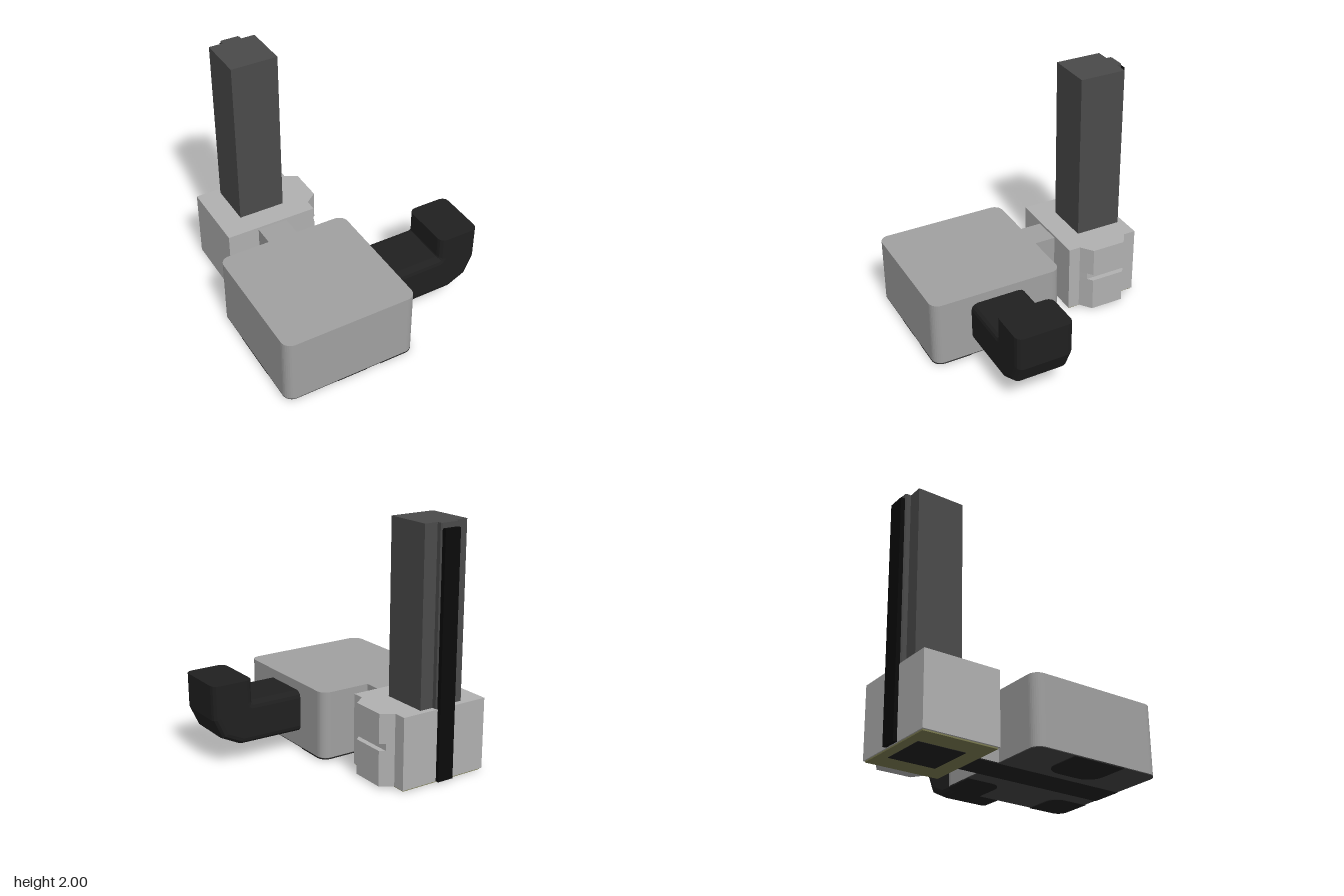
import * as THREE from 'three';

const paint = (color) => new THREE.MeshStandardMaterial({ color, flatShading: true });

// Upright prism from a plan outline drawn in (x, -z)
function prism(name, shape, y0, y1, material) {
  const geo = new THREE.ExtrudeGeometry(shape, { depth: y1 - y0, bevelEnabled: false, curveSegments: 4 });
  geo.rotateX(-Math.PI / 2).translate(0, y0, 0);
  const mesh = new THREE.Mesh(geo, material);
  mesh.name = name;
  return mesh;
}

// Outline from [x, z] points
const outline = (pts) => new THREE.Shape(pts.map(([x, z]) => new THREE.Vector2(x, -z)));

// Rectangle with one radius per corner: back left, back right, front right, front left (in plan)
function plan(x0, x1, z0, z1, radii = [0, 0, 0, 0]) {
  const [a, b, c, d] = radii;
  const s = new THREE.Shape();
  s.moveTo(x0 + d, -z1);
  s.lineTo(x1 - c, -z1);
  if (c) s.absarc(x1 - c, -z1 + c, c, -Math.PI / 2, 0);
  s.lineTo(x1, -z0 - b);
  if (b) s.absarc(x1 - b, -z0 - b, b, 0, Math.PI / 2);
  s.lineTo(x0 + a, -z0);
  if (a) s.absarc(x0 + a, -z0 - a, a, Math.PI / 2, Math.PI);
  s.lineTo(x0, -z1 + d);
  if (d) s.absarc(x0 + d, -z1 + d, d, Math.PI, Math.PI * 1.5);
  return s;
}

// Bent duct: rounded rectangular cross-sections from an inner to an outer edge
function ductGeometry(stations, z0, z1, r) {
  const pos = [], index = [];
  const corners = [[0, 0], [0, 1], [1, 1], [1, 0]];
  const steps = 3, ring = corners.length * (steps + 1);
  for (const [ix, iy, ox, oy] of stations) {
    const len = Math.hypot(ox - ix, oy - iy);
    corners.forEach(([t, w], k) => {
      for (let i = 0; i <= steps; i++) {
        const a = Math.PI - (k + i / steps) * Math.PI / 2 + Math.PI / 2;
        const d = (t ? len - r : r) + r * Math.cos(a);
        const z = (w ? z1 - r : z0 + r) + r * Math.sin(a);
        pos.push(ix + (ox - ix) * d / len, iy + (oy - iy) * d / len, z);
      }
    });
  }
  for (let s = 0; s < stations.length - 1; s++) {
    for (let i = 0; i < ring; i++) {
      const a = s * ring + i, b = s * ring + (i + 1) % ring;
      index.push(a, b, a + ring, b, b + ring, a + ring);
    }
  }
  // Flat end caps
  const last = (stations.length - 1) * ring;
  for (let i = 1; i < ring - 1; i++) {
    index.push(0, i + 1, i, last, last + i, last + i + 1);
  }
  const geo = new THREE.BufferGeometry();
  geo.setAttribute('position', new THREE.Float32BufferAttribute(pos, 3));
  geo.setIndex(index);
  const flat = geo.toNonIndexed();
  flat.computeVertexNormals();
  return flat;
}

export function createModel() {
  const model = new THREE.Group();
  model.name = 'pumpUnit';
  const casing = paint(0xa0a0a0), housing = paint(0xb0b0b0), column = paint(0x4a4a4a);
  const rubber = paint(0x202020), black = paint(0x0a0a0a), base = paint(0x444444), olive = paint(0x7a7a50);

  // Main casing with a dark underside
  const r = 0.08, round = [r, r, r, r];
  model.add(prism('mainCasing', plan(-0.955, 0.165, -0.14, 0.98, round), 0.022, 0.575, casing));
  model.add(prism('casingUnderside', plan(-0.955, 0.165, -0.14, 0.98, round), 0.016, 0.022, base));

  // Feet and the channel under the casing
  const feet = [
    plan(-0.145, 0.165, -0.14, 0.17, [0, r, 0, 0.1]),
    plan(-0.145, 0.165, 0.67, 0.98, [0.1, 0, r, 0]),
    plan(-0.955, -0.6, 0.2, 0.65, [0, 0.13, 0.13, 0]),
  ];
  feet.forEach((shape) => model.add(prism('foot', shape, 0.01, 0.02, rubber)));
  model.add(prism('undersideChannel', plan(-0.52, -0.265, -0.325, 0.98), 0.012, 0.02, rubber));

  // Bridge between the casing and the column housing
  model.add(prism('bridge', plan(-0.52, -0.265, -0.33, -0.13), 0.02, 0.575, casing));

  // Column housing and its base plate
  model.add(prism('columnHousing', plan(-0.785, -0.01, -0.95, -0.32), 0.014, 0.595, housing));
  model.add(prism('basePlate', plan(-0.77, -0.02, -0.94, -0.33), 0.003, 0.015, olive));
  model.add(prism('basePlug', plan(-0.59, -0.2, -0.86, -0.47), 0, 0.012, rubber));

  // Side bulge, split by a recessed slot
  const bulge = [[-0.02, -0.42], [-0.01, -0.42], [0.09, -0.495], [0.09, -0.78], [-0.01, -0.845], [-0.02, -0.845]];
  const recess = [[-0.02, -0.42], [-0.01, -0.42], [0.045, -0.462], [0.045, -0.81], [-0.01, -0.845], [-0.02, -0.845]];
  model.add(prism('lowerBulge', outline(bulge), 0.014, 0.3, housing));
  model.add(prism('bulgeSlot', outline(recess), 0.3, 0.355, housing));
  model.add(prism('upperBulge', outline(bulge), 0.355, 0.595, housing));

  // Column with a rear rail and cable strip
  const post = [[-0.59, -0.51], [-0.2, -0.51], [-0.2, -0.9], [-0.315, -0.9], [-0.315, -0.935],
    [-0.325, -0.945], [-0.465, -0.945], [-0.475, -0.935], [-0.475, -0.9], [-0.59, -0.9]];
  model.add(prism('column', outline(post), 0.58, 2, column));
  model.add(prism('rearStrip', plan(-0.465, -0.325, -0.98, -0.94), 0.016, 1.96, black));

  // Elbow duct, each station given as inner x, y and outer x, y
  const stations = [
    [0.12, 0.5, 0.12, 0.152], [0.59, 0.5, 0.71, 0.16], [0.598, 0.501, 0.87, 0.24],
    [0.6, 0.51, 0.945, 0.4], [0.6, 0.685, 0.95, 0.685],
  ];
  const elbowMaterial = paint(0x202020);
  elbowMaterial.side = THREE.DoubleSide;
  const elbow = new THREE.Mesh(ductGeometry(stations, 0.185, 0.655, 0.055), elbowMaterial);
  elbow.name = 'elbowDuct';
  model.add(elbow);

  return model;
}
